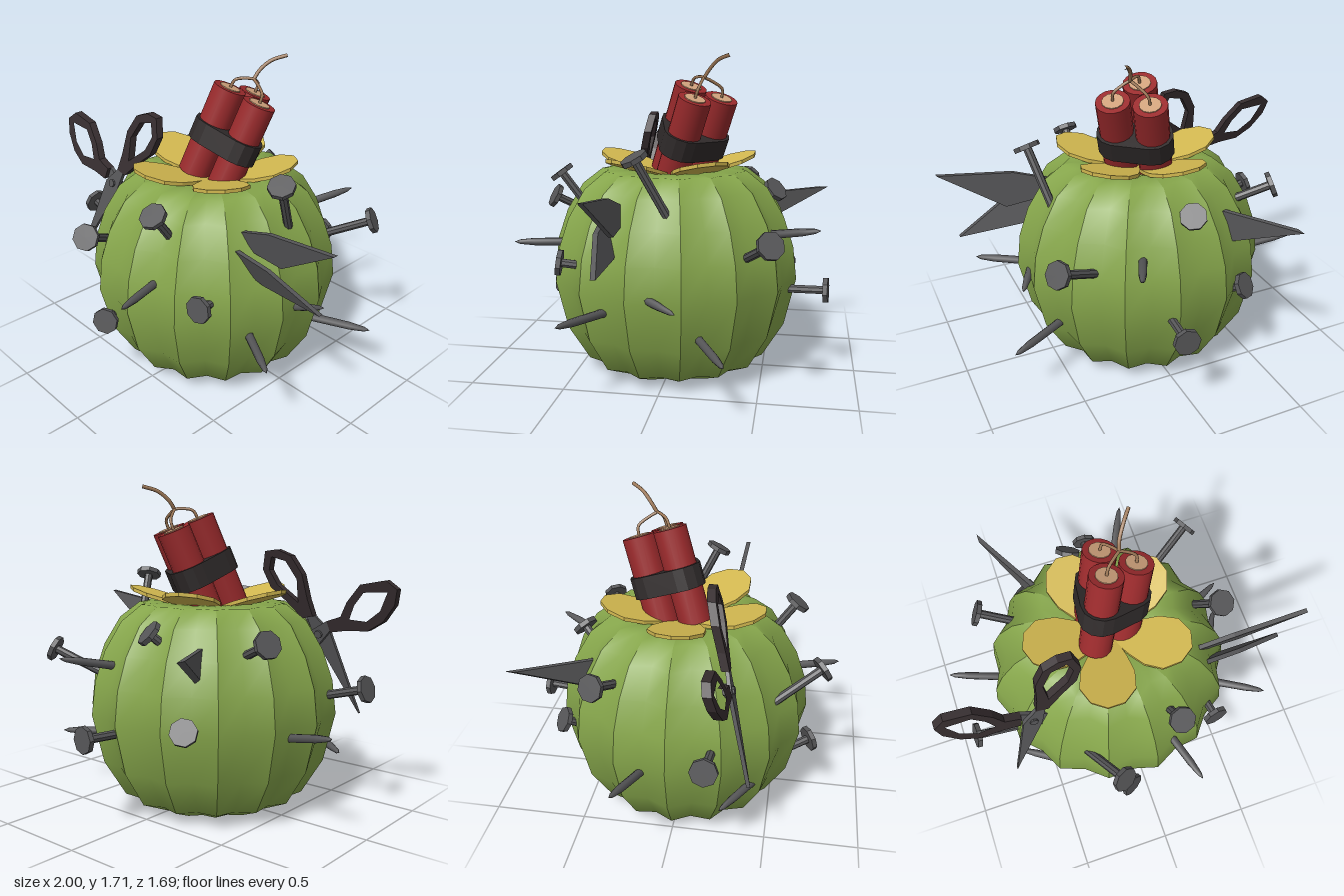
import * as THREE from 'three';

const mat = (name, color) => {
  const m = new THREE.MeshStandardMaterial({ color });
  m.name = name;
  return m;
};
const V = (a) => new THREE.Vector3(...a);
const UP = new THREE.Vector3(0, 1, 0);

export function createModel() {
  const root = new THREE.Group();
  root.name = 'spikyCactus';
  const green = mat('cactusGreen', 0x86a64b);
  const yellow = mat('petalYellow', 0xd2b850);
  const red = mat('stickRed', 0x9a2a2c);
  const tan = mat('stickEndTan', 0xd0a27c);
  const black = mat('strapBlack', 0x2f2a2a);
  const grey = mat('metalGrey', 0x565658);
  const dark = mat('handleDark', 0x362d2f);
  const brown = mat('fuseBrown', 0xa07a58);

  const add = (parent, name, geo, material) => {
    const mesh = new THREE.Mesh(geo, material);
    mesh.name = name;
    parent.add(mesh);
    return mesh;
  };
  const group = (name, parent = root) => {
    const g = new THREE.Group();
    g.name = name;
    parent.add(g);
    return g;
  };
  const facet = (geo) => {
    const g = geo.index ? geo.toNonIndexed() : geo;
    g.computeVertexNormals();
    return g;
  };
  const CX = -0.03;

  // Ribbed body: fifteen fluted panels, sharp at the ridges, smooth in the valleys
  const profile = [[0, 0.04], [0.2, 0.015], [0.34, 0], [0.5, 0.07], [0.615, 0.26], [0.676, 0.52],
    [0.655, 0.7], [0.6, 0.86], [0.51, 1.01], [0.4, 1.095], [0.27, 1.1], [0, 1.0]];
  const RIBS = 15;
  const body = group('body');
  for (let k = 0; k < RIBS; k++) {
    const pos = [], idx = [];
    profile.forEach(([r, y], i) => {
      for (let j = 0; j < 3; j++) {
        const a = Math.PI + ((k + j / 2) * 2 * Math.PI) / RIBS;
        const dip = j === 1 ? 0.945 - 0.04 * Math.abs(y - 0.55) / 0.55 : 1;
        pos.push(CX + r * dip * Math.cos(a), y, r * dip * Math.sin(a));
        if (j < 2 && i < profile.length - 1) {
          const p = i * 3 + j;
          idx.push(p, p + 3, p + 1, p + 1, p + 3, p + 4);
        }
      }
    });
    const g = new THREE.BufferGeometry();
    g.setAttribute('position', new THREE.Float32BufferAttribute(pos, 3));
    g.setIndex(idx);
    g.computeVertexNormals();
    add(body, 'rib', g, green);
  }

  // Flower: five petals rising outward
  const half = [[0.02, 0.03], [0.15, 0.1], [0.24, 0.138], [0.34, 0.142], [0.42, 0.085]];
  const outline = [...half.map(([u, v]) => [u, -v]), [0.45, 0], ...half.slice().reverse()];
  const flower = group('flower');
  for (let k = 0; k < 5; k++) {
    const shape = new THREE.Shape(outline.map((p) => new THREE.Vector2(...p)));
    const g = new THREE.ExtrudeGeometry(shape, { depth: 0.02, bevelEnabled: false }).rotateX(-Math.PI / 2);
    const p = g.attributes.position;
    for (let i = 0; i < p.count; i++) p.setY(i, p.getY(i) + 1.032 + 0.295 * p.getX(i));
    const petal = add(flower, 'petal', facet(g), yellow);
    petal.position.x = CX;
    petal.rotation.y = Math.PI + (k * 2 * Math.PI) / 5;
  }

  // Tilted bundle of three sticks
  const bundle = group('stickBundle');
  const tops = [[0, 1.54, -0.09], [0.168, 1.483, -0.135], [0.02, 1.48, -0.255]].map(V);
  const centre = tops.reduce((s, t) => s.add(t), new THREE.Vector3()).divideScalar(3);
  bundle.position.copy(centre);
  bundle.quaternion.setFromUnitVectors(UP, V([0.25, 1, -0.33]).normalize());
  const inv = bundle.quaternion.clone().invert();
  const local = (v) => v.clone().sub(centre).applyQuaternion(inv);
  const joint = local(V([0.09, 1.59, -0.17]));
  const ends = tops.map(local);
  ends.forEach((e) => {
    add(bundle, 'stick', new THREE.CylinderGeometry(0.088, 0.088, 0.5, 16), red).position.set(e.x, -0.25, e.z);
    add(bundle, 'stickEnd', new THREE.CylinderGeometry(0.056, 0.056, 0.006, 12), tan).position.set(e.x, 0.002, e.z);
    const path = new THREE.CatmullRomCurve3([new THREE.Vector3(e.x, 0, e.z),
      new THREE.Vector3(e.x, 0.045, e.z).lerp(joint, 0.08),
      new THREE.Vector3(e.x, 0.06, e.z).lerp(joint, 0.6), joint]);
    add(bundle, 'fuseStrand', new THREE.TubeGeometry(path, 10, 0.008, 6), brown);
  });
  const fusePath = new THREE.CatmullRomCurve3(
    [[0.09, 1.585, -0.17], [0.1, 1.63, -0.2], [0.135, 1.68, -0.25], [0.185, 1.705, -0.315]].map(V));
  add(root, 'fuse', new THREE.TubeGeometry(fusePath, 12, 0.01, 6), brown);

  // Strap: rounded triangle around the sticks
  const strapPts = [];
  ends.map((e) => [e.x, -e.z, Math.atan2(-e.z, e.x)]).sort((a, b) => a[2] - b[2]).forEach(([x, y, a]) => {
    for (let k = -2; k <= 2; k++) {
      const t = a + (k * Math.PI) / 6;
      strapPts.push(new THREE.Vector2(x + 0.106 * Math.cos(t), y + 0.106 * Math.sin(t)));
    }
  });
  const strap = new THREE.ExtrudeGeometry(new THREE.Shape(strapPts), { depth: 0.115, bevelEnabled: false });
  add(bundle, 'strap', strap.rotateX(-Math.PI / 2), black).position.y = -0.315;

  // Nails and spikes, each running from a base inside the body to an outer end
  const pin = (name, base, end) => {
    const g = group(name);
    const dir = V(end).sub(V(base));
    const len = dir.length();
    g.position.set(...base);
    g.quaternion.setFromUnitVectors(UP, dir.normalize());
    return [g, len];
  };
  const nails = [
    [[0.47, 0.9, -0.06], [0.55, 1.22, 0.1]], [[0.15, 0.91, 0.45], [0.17, 1.09, 0.58]],
    [[-0.32, 0.745, 0.49], [-0.185, 0.895, 0.735]], [[-0.23, 0.36, 0.52], [-0.12, 0.405, 0.7]],
    [[0.4, 0.64, 0.38], [0.425, 0.66, 0.525]], [[-0.6, 0.62, 0.22], [-0.855, 0.69, 0.215]],
    [[0.06, 0.47, -0.55], [0.09, 0.48, -0.83]], [[0.37, 0.7, -0.41], [0.63, 0.84, -0.555]],
    [[-0.27, 0.46, -0.47], [-0.36, 0.55, -0.61]], [[-0.44, 0.87, -0.27], [-0.655, 0.965, -0.36]],
    [[-0.15, 0.87, -0.43], [-0.08, 0.985, -0.545]],
  ];
  for (const [base, end] of nails) {
    const [g, len] = pin('nail', base, end);
    add(g, 'nailShaft', facet(new THREE.CylinderGeometry(0.023, 0.023, len, 8)), grey).position.y = len / 2;
    add(g, 'nailHead', facet(new THREE.CylinderGeometry(0.07, 0.07, 0.025, 8)), grey).position.y = len;
  }
  const spikes = [
    [[-0.58, 0.46, -0.12], [-0.93, 0.54, -0.225]], [[-0.45, 0.33, 0.42], [-0.68, 0.31, 0.27]],
    [[0.12, 0.7, 0.48], [0.227, 0.71, 0.84]], [[0.5, 0.435, 0.26], [0.8, 0.445, 0.435]],
    [[0.48, 0.325, -0.19], [0.815, 0.305, -0.365]], [[0.57, 0.545, 0.07], [0.685, 0.5, -0.12]],
    [[0.18, 0.79, -0.52], [0.31, 0.85, -0.79]],
  ];
  for (const [base, end] of spikes) {
    const [g, len] = pin('spike', base, end);
    const prof = [[0, 0], [0.023, 0], [0.021, len - 0.11], [0.013, len - 0.03], [0, len]];
    const geo = new THREE.LatheGeometry(prof.map((p) => new THREE.Vector2(...p)), 8);
    add(g, 'spikeShaft', geo, grey);
  }

  // Flat plates drawn in x and y, then leaned by a rule for z
  const plate = (parent, name, pts, zRule, depth, material, hole) => {
    const shape = new THREE.Shape(pts.map((p) => new THREE.Vector2(...p)));
    if (hole) shape.holes.push(new THREE.Path(hole.map((p) => new THREE.Vector2(...p))));
    const g = new THREE.ExtrudeGeometry(shape, { depth, bevelEnabled: false });
    const p = g.attributes.position;
    for (let i = 0; i < p.count; i++) p.setZ(i, p.getZ(i) - depth / 2 + zRule(p.getX(i), p.getY(i)));
    return add(parent, name, facet(g), material);
  };

  // Broken blades
  const shards = group('bladeShards');
  plate(shards, 'upperShard', [[0.38, 0.96], [0.6, 1.035], [1.0, 1.085], [0.66, 0.86], [0.4, 0.88]],
    (x, y) => 0.19 + 0.2 * (y - 0.85), 0.025, grey);
  plate(shards, 'lowerShard', [[0.42, 0.905], [0.64, 0.87], [0.92, 0.725], [0.57, 0.73], [0.42, 0.78]],
    (x, y) => 0.2 + 0.42 * (y - 0.7), 0.025, grey);
  plate(shards, 'backShard', [[-0.3, 0.92], [-0.53, 0.935], [-0.3, 0.73]],
    (x) => -0.41 + 1.76 * (x + 0.3), 0.05, grey);

  // Open scissors
  const scissors = group('scissors');
  const lean = (off) => (x, y) => 0.504 - 0.04 * x - 0.25 * y + off;
  plate(scissors, 'longBlade', [[-0.46, 1.025], [-0.5, 1.04], [-0.59, 0.95], [-0.71, 0.505], [-0.495, 0.905]],
    lean(0.01), 0.02, grey);
  plate(scissors, 'shortBlade', [[-0.59, 1.01], [-0.61, 0.965], [-0.5, 0.85], [-0.4, 0.78], [-0.4, 0.87], [-0.435, 0.92]],
    lean(-0.01), 0.02, grey);
  plate(scissors, 'rightHandle',
    [[-1.0, 1.2], [-0.945, 1.243], [-0.805, 1.215], [-0.72, 1.12], [-0.675, 1.04], [-0.59, 1.01],
      [-0.605, 0.95], [-0.7, 0.968], [-0.82, 0.975], [-0.91, 1.03], [-0.98, 1.12]],
    lean(0), 0.042, dark,
    [[-0.95, 1.185], [-0.82, 1.175], [-0.76, 1.105], [-0.725, 1.03], [-0.82, 1.025], [-0.9, 1.085]]);
  plate(scissors, 'leftHandle',
    [[-0.445, 1.015], [-0.355, 1.105], [-0.27, 1.175], [-0.235, 1.27], [-0.265, 1.37], [-0.34, 1.38],
      [-0.42, 1.35], [-0.475, 1.255], [-0.49, 1.12], [-0.51, 1.03]],
    lean(0), 0.042, dark,
    [[-0.43, 1.1], [-0.315, 1.19], [-0.275, 1.27], [-0.3, 1.34], [-0.385, 1.32], [-0.44, 1.225]]);
  const pivot = add(scissors, 'pivot', facet(new THREE.CylinderGeometry(0.022, 0.022, 0.06, 8)), grey);
  pivot.position.set(-0.535, 0.94, 0.29);
  pivot.rotation.x = Math.PI / 2 - 0.24;

  return root;
}
